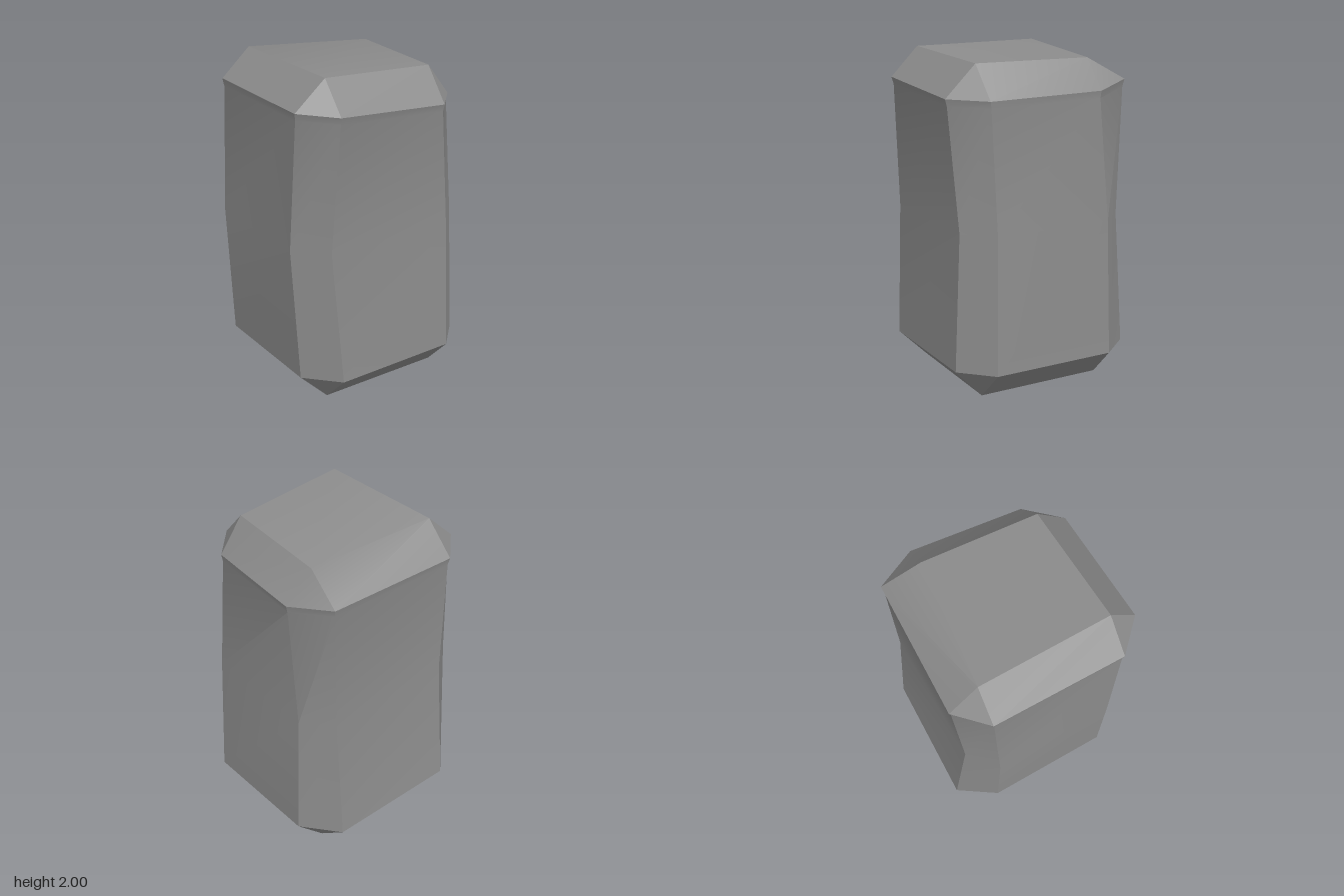
import * as THREE from 'three';
import { toCreasedNormals } from 'three/addons/utils/BufferGeometryUtils.js';

const v = (p) => new THREE.Vector3(...p);

// Four corners of an end face become an eight-point ring, two points per chamfered corner
const doubled = ([fl, fr, br, bl]) => [fl, fr, fr, br, br, bl, bl, fl].map(v);

// Rings run front-left, front-right, back-right, back-left
function pillarGeometry() {
  const base = doubled([[-0.38, 0, 0.42], [0.41, 0, 0.42], [0.41, 0, -0.37], [-0.38, 0, -0.38]]);
  const lower = [
    [-0.38, 0.18, 0.6], [0.41, 0.18, 0.59], [0.59, 0.18, 0.41], [0.59, 0.18, -0.36],
    [0.41, 0.17, -0.57], [-0.41, 0.2, -0.6], [-0.56, 0.18, -0.37], [-0.56, 0.18, 0.41],
  ].map(v);
  const waist = [
    [-0.43, 1, 0.55], [0.4, 1, 0.55], [0.56, 1, 0.39], [0.56, 1, -0.35],
    [0.41, 1, -0.51], [-0.42, 1, -0.51], [-0.6, 1, -0.37], [-0.6, 1, 0.38],
  ].map(v);
  const upper = [
    [-0.4, 1.81, 0.6], [0.32, 1.76, 0.59], [0.5, 1.755, 0.4], [0.57, 1.78, -0.28],
    [0.44, 1.82, -0.53], [-0.39, 1.82, -0.56], [-0.57, 1.83, -0.39], [-0.58, 1.82, 0.42],
  ].map(v);
  // Slight undercut just below the top bevel
  const neck = upper.map((p, i) =>
    p.clone().lerp(waist[i], 0.055).multiply(new THREE.Vector3(0.985, 1, 0.985)));
  const top = doubled([[-0.39, 1.99, 0.43], [0.34, 1.95, 0.41], [0.4, 1.955, -0.29], [-0.39, 2, -0.38]]);

  const points = [];
  const tri = (a, b, c) => {
    if (!a.equals(b) && !b.equals(c) && !c.equals(a)) points.push(a, b, c);
  };
  const quad = (a, b, c, d) => { tri(a, b, c); tri(a, c, d); };

  // Sides and bevels
  const rings = [base, lower, waist, neck, upper, top];
  for (let r = 0; r < rings.length - 1; r++) {
    for (let i = 0; i < 8; i++) {
      const j = (i + 1) % 8;
      quad(rings[r][i], rings[r][j], rings[r + 1][j], rings[r + 1][i]);
    }
  }
  // End faces
  quad(top[0], top[1], top[3], top[5]);
  quad(base[5], base[3], base[1], base[0]);

  const geometry = new THREE.BufferGeometry().setFromPoints(points);
  return toCreasedNormals(geometry, THREE.MathUtils.degToRad(30));
}

export function createModel() {
  const stone = new THREE.MeshStandardMaterial({ color: 0x8c8c8c });
  stone.name = 'grey stone';
  const pillar = new THREE.Mesh(pillarGeometry(), stone);
  pillar.name = 'stonePillar';
  const model = new THREE.Group();
  model.name = 'stoneBlock';
  model.add(pillar);
  return model;
}
